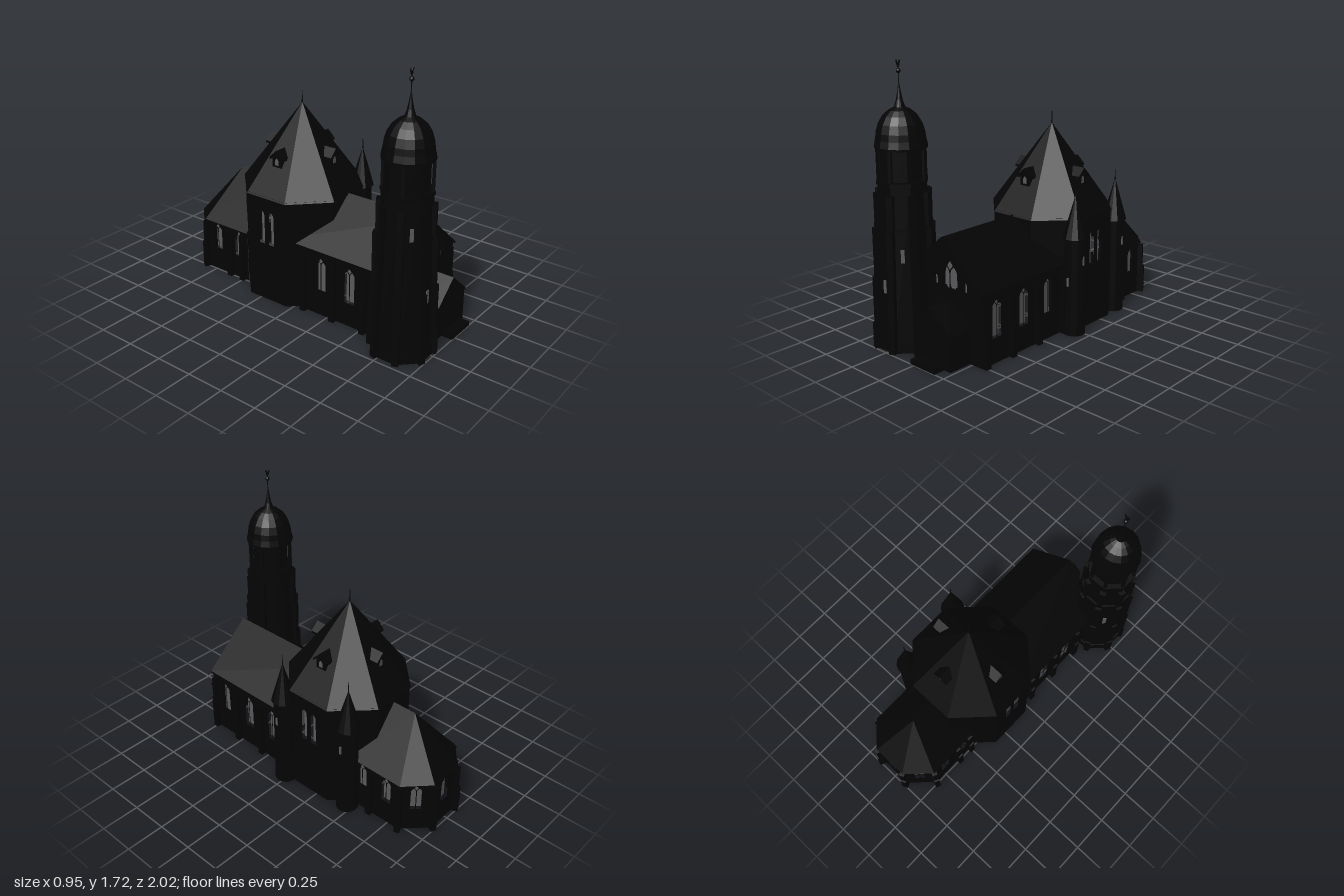
import * as THREE from 'three';

const stone = new THREE.MeshStandardMaterial({ color: 0x040404, side: THREE.DoubleSide, flatShading: true });
stone.name = 'blackStone';
const glass = new THREE.MeshStandardMaterial({ color: 0x5a5a5c });
glass.name = 'greyGlass';

const CX = 0.02, CZ = -0.19; // centre of the crossing

export function createModel() {
  const root = new THREE.Group();
  root.name = 'church';

  const add = (name, geo, x = 0, y = 0, z = 0, ry = 0, parent = root, mat = stone) => {
    const m = new THREE.Mesh(geo, mat);
    m.name = name;
    m.position.set(x, y, z);
    m.rotation.y = ry;
    parent.add(m);
    return m;
  };
  const box = (name, w, h, d, x, y, z, ry = 0, parent = root) =>
    add(name, new THREE.BoxGeometry(w, h, d), x, y + h / 2, z, ry, parent);
  const tube = (name, r0, r1, y0, y1, x, z, sides = 8) =>
    add(name, new THREE.CylinderGeometry(r1, r0, y1 - y0, sides, 1, false, Math.PI / 8), x, (y0 + y1) / 2, z);

  // flat polygons given by their corners
  const facets = (name, polys) => {
    const pos = [];
    for (const p of polys)
      for (let i = 1; i < p.length - 1; i++) pos.push(...p[0], ...p[i], ...p[i + 1]);
    const g = new THREE.BufferGeometry();
    g.setAttribute('position', new THREE.Float32BufferAttribute(pos, 3));
    g.computeVertexNormals();
    return add(name, g);
  };

  // pointed-arch outline
  const lancet = (x, y, w, h) => {
    const p = new THREE.Path(), s = y + h - w * 0.85;
    p.moveTo(x - w / 2, y);
    p.lineTo(x + w / 2, y);
    p.lineTo(x + w / 2, s);
    p.quadraticCurveTo(x + w / 2, s + w * 0.5, x, y + h);
    p.quadraticCurveTo(x - w / 2, s + w * 0.5, x - w / 2, s);
    return p;
  };

  // openings of one window: a single lancet, or two lights below a diamond
  const openings = ({ x, y, w, h, twin }) => {
    if (!twin) return [lancet(x, y, w, h)];
    const d = new THREE.Path(), q = w * 0.2, t = y + h;
    d.moveTo(x, t - q * 2.4);
    d.lineTo(x + q, t - q * 1.2);
    d.lineTo(x, t);
    d.lineTo(x - q, t - q * 1.2);
    const lh = h - w * 0.3;
    return [lancet(x - w * 0.26, y, w * 0.44, lh), lancet(x + w * 0.26, y, w * 0.44, lh), d];
  };

  // upright wall from a to b (outside on the right), with windows and optional gable
  const wall = (name, a, b, y0, y1, windows = [], peak = 0) => {
    const dx = b[0] - a[0], dz = b[1] - a[1], L = Math.hypot(dx, dz);
    const g = new THREE.Group();
    g.name = name;
    g.position.set(a[0], 0, a[1]);
    g.rotation.y = Math.atan2(-dz, dx);
    const s = new THREE.Shape();
    s.moveTo(0, y0);
    s.lineTo(L, y0);
    s.lineTo(L, y1);
    if (peak) s.lineTo(L / 2, peak);
    s.lineTo(0, y1);
    for (const w of windows) {
      s.holes.push(...openings(w));
      const pane = new THREE.Shape(lancet(w.x, w.y, w.w * 1.04, w.h).getPoints(6));
      add('windowPane', new THREE.ShapeGeometry(pane), 0, 0, -0.025, 0, g, glass);
    }
    add(name + 'Panel', new THREE.ShapeGeometry(s, 6), 0, 0, 0, 0, g);
    root.add(g);
  };

  // two-step buttress, angle turns its outward side from +z
  const buttress = (x, z, ry, h) => {
    const g = new THREE.Group();
    g.name = 'buttress';
    g.position.set(x, 0, z);
    g.rotation.y = ry;
    box('buttressFoot', 0.036, h * 0.55, 0.05, 0, 0, 0.002, 0, g);
    box('buttressShaft', 0.034, h * 0.45, 0.04, 0, h * 0.55, -0.004, 0, g);
    root.add(g);
  };

  // chevron roof running along z
  const gableRoof = (name, cx, half, eave, ridge, z0, z1, t = 0.015) => {
    const s = new THREE.Shape();
    s.moveTo(-half, eave);
    s.lineTo(0, ridge);
    s.lineTo(half, eave);
    s.lineTo(half, eave - t);
    s.lineTo(0, ridge - t);
    s.lineTo(-half, eave - t);
    return add(name, new THREE.ExtrudeGeometry(s, { depth: z1 - z0, bevelEnabled: false }), cx, 0, z0);
  };

  // nave
  const nx0 = CX - 0.31, nx1 = CX + 0.31, nf = 0.77;
  const sideWin = (start, zs, y, w, h) => zs.map(z => ({ x: Math.abs(start - z), y, w, h, twin: true }));
  wall('naveLeftWall', [nx1, nf], [nx1, -0.02], 0, 0.45, sideWin(nf, [0.65, 0.42, 0.2], 0.16, 0.075, 0.24));
  wall('naveRightWall', [nx0, -0.02], [nx0, nf], 0, 0.45, sideWin(-0.02, [0.65, 0.42, 0.2], 0.16, 0.075, 0.24));
  wall('naveFront', [nx0, nf], [nx1, nf], 0, 0.45, [
    { x: 0.075 - nx0, y: 0.43, w: 0.125, h: 0.17, twin: true },
    { x: -0.05 - nx0, y: 0.42, w: 0.04, h: 0.08 },
    { x: 0.195 - nx0, y: 0.42, w: 0.04, h: 0.08 },
  ], 0.72);
  gableRoof('naveRoof', CX, 0.322, 0.45, 0.73, -0.1, 0.78);
  for (const z of [0.07, 0.3, 0.53, 0.75]) {
    buttress(nx1 + 0.005, z, Math.PI / 2, 0.4);
    if (z < 0.7) buttress(nx0 - 0.005, z, -Math.PI / 2, 0.4);
  }

  // porch with step
  const px = 0.073, ph = 0.155;
  wall('porchFront', [px - ph, 0.925], [px + ph, 0.925], 0, 0.22, [], 0.35);
  wall('porchLeftWall', [px + ph, 0.925], [px + ph, nf], 0, 0.22);
  wall('porchRightWall', [px - ph, nf], [px - ph, 0.925], 0, 0.22);
  gableRoof('porchRoof', px, 0.16, 0.22, 0.36, nf, 0.93);
  box('porchDoor', 0.12, 0.17, 0.008, px, 0.02, 0.928);
  box('porchStep', 0.206, 0.03, 0.08, px, 0, 0.96);

  // octagonal crossing
  const R = 0.398;
  const corner = (i, r = R) => {
    const a = (i - 0.5) * Math.PI / 4;
    return [CX + r * Math.sin(a), CZ + r * Math.cos(a)];
  };
  const tall = [0.115, 0.19].map(x => ({ x, y: 0.4, w: 0.042, h: 0.23 }));
  for (let i = 0; i < 8; i++)
    wall('crossingWall', corner(i), corner(i + 1), i % 4 === 0 ? 0.42 : 0, 0.73, i % 4 === 2 ? tall : []);
  add('crossingRoof', new THREE.CylinderGeometry(0, 0.405, 0.54, 8, 1, true, Math.PI / 8), CX, 0.99, CZ);
  tube('crossingFinial', 0.005, 0.002, 1.24, 1.335, CX, CZ, 6);

  // roof dormers
  for (let i = 0; i < 4; i++) {
    const g = new THREE.Group();
    g.name = 'dormer';
    g.position.set(CX, 0, CZ);
    g.rotation.y = i * Math.PI / 2;
    box('dormerBody', 0.075, 0.12, 0.15, 0, 0.84, 0.18, 0, g);
    const roof = gableRoof('dormerRoof', 0, 0.052, 0.955, 1.005, 0.12, 0.268);
    g.add(roof);
    add('dormerWindow', new THREE.ShapeGeometry(new THREE.Shape(lancet(0, 0.905, 0.028, 0.048).getPoints(5))),
      0, 0, 0.2565, 0, g, glass);
    root.add(g);
  }

  // stair turrets
  for (const [x, z] of [[0.33, -0.46], [0.392, 0.02]]) {
    tube('turretShaft', 0.068, 0.066, 0, 0.63, x, z, 12);
    tube('turretPlinth', 0.072, 0.07, 0, 0.12, x, z, 12);
    tube('turretSpire', 0.079, 0.002, 0.625, 0.89, x, z, 12);
    tube('turretFinial', 0.004, 0.002, 0.88, 0.955, x, z, 6);
    for (const [y, a] of [[0.35, 0], [0.485, Math.PI / 2]])
      add('turretSlit', new THREE.BoxGeometry(0.012, 0.055, 0.008), x + 0.067 * Math.sin(a), y, z + 0.067 * Math.cos(a), a, root, glass);
  }

  // choir and apse
  const e = 0.36;
  const plan = [[0.28, -0.46], [0.28, -0.83], [0.135, -0.975], [-0.095, -0.975], [-0.24, -0.83], [-0.24, -0.46]];
  for (let i = 0; i < 5; i++) {
    const a = plan[i], b = plan[i + 1], L = Math.hypot(b[0] - a[0], b[1] - a[1]);
    const xs = i === 0 ? [0.08, 0.27] : i === 4 ? [L - 0.27, L - 0.08] : [L / 2];
    wall('choirWall', a, b, 0, e, xs.map(x => ({ x, y: 0.16, w: 0.07, h: 0.185, twin: true })));
  }
  const rim = plan.map(([x, z]) => [CX + (x - CX) * 1.04, e - 0.005, z < -0.5 ? z - 0.008 : z]);
  const apex = [CX, 0.69, -0.72], back = [CX, 0.69, -0.44];
  facets('choirRoof', [
    [rim[0], rim[1], apex, back], [rim[1], rim[2], apex], [rim[2], rim[3], apex],
    [rim[3], rim[4], apex], [rim[4], rim[5], back, apex].map((p, i, q) => q[[0, 1, 2, 3][i]]),
  ]);
  for (const s of [1, -1]) {
    buttress(CX + s * 0.265, -0.61, s * Math.PI / 2, 0.33);
    buttress(CX + s * 0.267, -0.835, s * Math.PI * 0.63, 0.34);
    buttress(CX + s * 0.115, -0.982, s * Math.PI * 0.87, 0.34);
  }
  buttress(-0.245, -0.5, -Math.PI / 2, 0.33);

  // bell tower
  const tx = -0.28, tz = 0.8;
  tube('towerShaft', 0.185, 0.15, 0, 1.02, tx, tz);
  tube('towerPlinth', 0.195, 0.193, 0, 0.06, tx, tz);
  tube('towerStringCourse', 0.172, 0.172, 0.745, 0.76, tx, tz);
  tube('belfryFloor', 0.158, 0.158, 1.01, 1.03, tx, tz);
  tube('belfryCore', 0.123, 0.123, 1.02, 1.23, tx, tz);
  const steps = [[0, 0.16, 0.211], [0.16, 0.45, 0.201], [0.45, 0.75, 0.189], [0.75, 0.96, 0.173]];
  for (let i = 0; i < 8; i++) {
    const a = (i + 0.5) * Math.PI / 4, s = Math.sin(a), c = Math.cos(a);
    for (const [y0, y1, r] of steps)
      box('towerButtress', 0.04, y1 - y0, 0.06, tx + s * (r - 0.03), y0, tz + c * (r - 0.03), a);
    box('belfryPost', 0.022, 0.2, 0.016, tx + s * 0.143, 1.025, tz + c * 0.143, a);
  }
  for (const [k, y] of [[0, 0.4], [1, 0.6], [-1, 0.81], [-3, 0.5]]) {
    const a = k * Math.PI / 4, r = (0.185 - 0.0343 * y) * Math.cos(Math.PI / 8) + 0.001;
    add('towerSlit', new THREE.BoxGeometry(0.022, 0.08, 0.009), tx + r * Math.sin(a), y, tz + r * Math.cos(a), a, root, glass);
  }

  // onion dome, ball and weather vane
  const dome = [[0, 1.215], [0.155, 1.215], [0.156, 1.23], [0.147, 1.27], [0.142, 1.31], [0.127, 1.36],
    [0.1, 1.405], [0.065, 1.435], [0.032, 1.452], [0.02, 1.49], [0.01, 1.54], [0.003, 1.59], [0.003, 1.69]];
  add('dome', new THREE.LatheGeometry(dome.map(p => new THREE.Vector2(...p)), 16), tx, 0, tz);
  add('vaneBall', new THREE.SphereGeometry(0.014, 12, 8), tx, 1.657, tz);
  const vane = new THREE.Shape([[-0.004, 1.675], [0.008, 1.683], [0.01, 1.7], [0.02, 1.715], [0.01, 1.72],
    [0, 1.702], [-0.008, 1.705], [-0.016, 1.72], [-0.018, 1.7], [-0.01, 1.685]].map(p => new THREE.Vector2(...p)));
  add('weatherVane', new THREE.ExtrudeGeometry(vane, { depth: 0.004, bevelEnabled: false }), tx, 0, tz - 0.002);

  return root;
}
